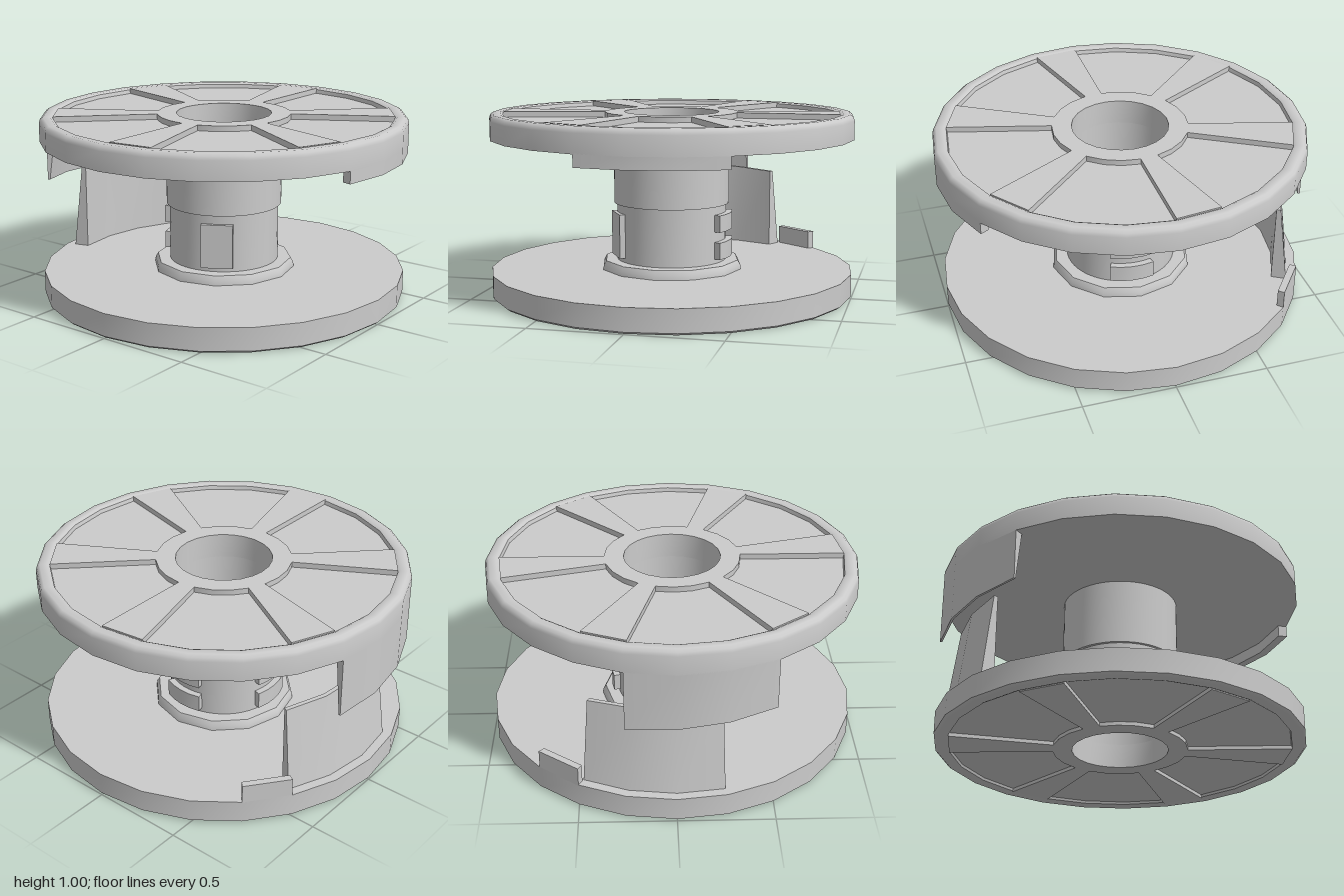
import * as THREE from 'three';
import { toCreasedNormals } from 'three/addons/utils/BufferGeometryUtils.js';

const material = new THREE.MeshStandardMaterial({ color: 0xcccccc });
const rad = THREE.MathUtils.degToRad;

// Sweeps a counter-clockwise (radius, height) section around the y axis.
// Angles are in degrees from +z towards +x; section(t) may vary along the arc.
function sweep(name, section, start = 0, end = 360, steps = 24) {
  const at = typeof section === 'function' ? section : () => section;
  const rings = [];
  for (let i = 0; i <= steps; i++) {
    const t = i / steps;
    const a = rad(start + (end - start) * t);
    rings.push(at(t).map(([r, y]) => [r * Math.sin(a), y, r * Math.cos(a)]));
  }
  const pos = [];
  const n = rings[0].length;
  const tri = (a, b, c) => pos.push(...a, ...b, ...c);
  for (let i = 0; i < steps; i++) {
    const p = rings[i], q = rings[i + 1];
    for (let j = 0; j < n; j++) {
      const k = (j + 1) % n;
      tri(p[j], q[j], q[k]);
      tri(p[j], q[k], p[k]);
    }
  }
  // End caps for open arcs
  if (end - start < 360) {
    const p = rings[0], q = rings[steps];
    for (let j = 1; j < n - 1; j++) {
      tri(p[0], p[j], p[j + 1]);
      tri(q[0], q[j + 1], q[j]);
    }
  }
  const geometry = new THREE.BufferGeometry();
  geometry.setAttribute('position', new THREE.Float32BufferAttribute(pos, 3));
  const mesh = new THREE.Mesh(toCreasedNormals(geometry, rad(40)), material);
  mesh.name = name;
  return mesh;
}

const rect = (r0, r1, y0, y1) => [[r0, y0], [r1, y0], [r1, y1], [r0, y1]];

// Six raised spokes between the sunken sectors of a disc
function spokes(name, y0, y1) {
  const group = new THREE.Group();
  group.name = name;
  for (let i = 0; i < 6; i++) {
    group.add(sweep('spoke', rect(0.36, 0.925, y0, y1), i * 60, i * 60 + 15, 1));
  }
  return group;
}

export function createModel() {
  const model = new THREE.Group();

  // Upper disc with rounded rim and sunken top
  model.add(sweep('upperDisc', [
    [0.26, 0.865], [1, 0.865], [1, 0.968], [0.994, 0.988], [0.978, 1], [0.94, 1],
    [0.925, 0.992], [0.92, 0.97], [0.365, 0.97], [0.365, 1], [0.26, 1],
  ]));
  model.add(spokes('upperSpokes', 0.96, 1));

  // Lower disc with sunken underside
  model.add(sweep('lowerDisc', [
    [0.26, 0], [0.365, 0], [0.365, 0.02], [0.92, 0.02], [0.925, 0.006], [0.94, 0],
    [0.985, 0], [1, 0.012], [1, 0.135], [0.26, 0.135],
  ]));
  model.add(spokes('lowerSpokes', 0, 0.03));

  // Hollow hub: wide sleeve above, narrower core below, flange at its foot
  model.add(sweep('upperSleeve', rect(0.26, 0.318, 0.5, 0.866), 0, 360, 48));
  model.add(sweep('lowerCore', rect(0.26, 0.302, 0.134, 0.5), 0, 360, 48));
  model.add(sweep('coreFlange',
    [[0.29, 0.134], [0.392, 0.134], [0.39, 0.16], [0.375, 0.185], [0.29, 0.185]], 0, 360, 12));

  // Two pairs of catch ribs on the core
  for (const middle of [175, 275]) {
    for (const y of [0.21, 0.36]) {
      model.add(sweep('catchRib', rect(0.295, 0.338, y, y + 0.093), middle - 21, middle + 21, 4));
    }
  }

  // Flat key plate on the core
  const plate = new THREE.Mesh(new THREE.BoxGeometry(0.172, 0.242, 0.06), material);
  plate.name = 'keyPlate';
  plate.position.set(0.29 * Math.sin(rad(30)), 0.33, 0.29 * Math.cos(rad(30)));
  plate.rotation.y = rad(30);
  model.add(plate);

  // Short lip and long tapering skirt hanging from the upper rim
  model.add(sweep('rimLip', rect(0.95, 1, 0.8, 0.87), 75, 120, 3));
  model.add(sweep('rimSkirt', (t) => {
    const y = 0.54 + 0.05 * t;
    return [[0.988, y], [1, y], [1, 0.87], [0.95, 0.87]];
  }, 255, 300, 3));

  // Upright wall on the lower disc, tapering upwards, with a small stop beside it
  model.add(sweep('uprightWall', (t) => {
    const y = 0.585 + 0.035 * t;
    return [[0.866, 0.13], [0.95, 0.13], [0.89, y], [0.866, y]];
  }, 240, 285, 3));
  model.add(sweep('stopBlock', rect(0.962, 1, 0.13, 0.235), 225, 240, 1));

  return model;
}
